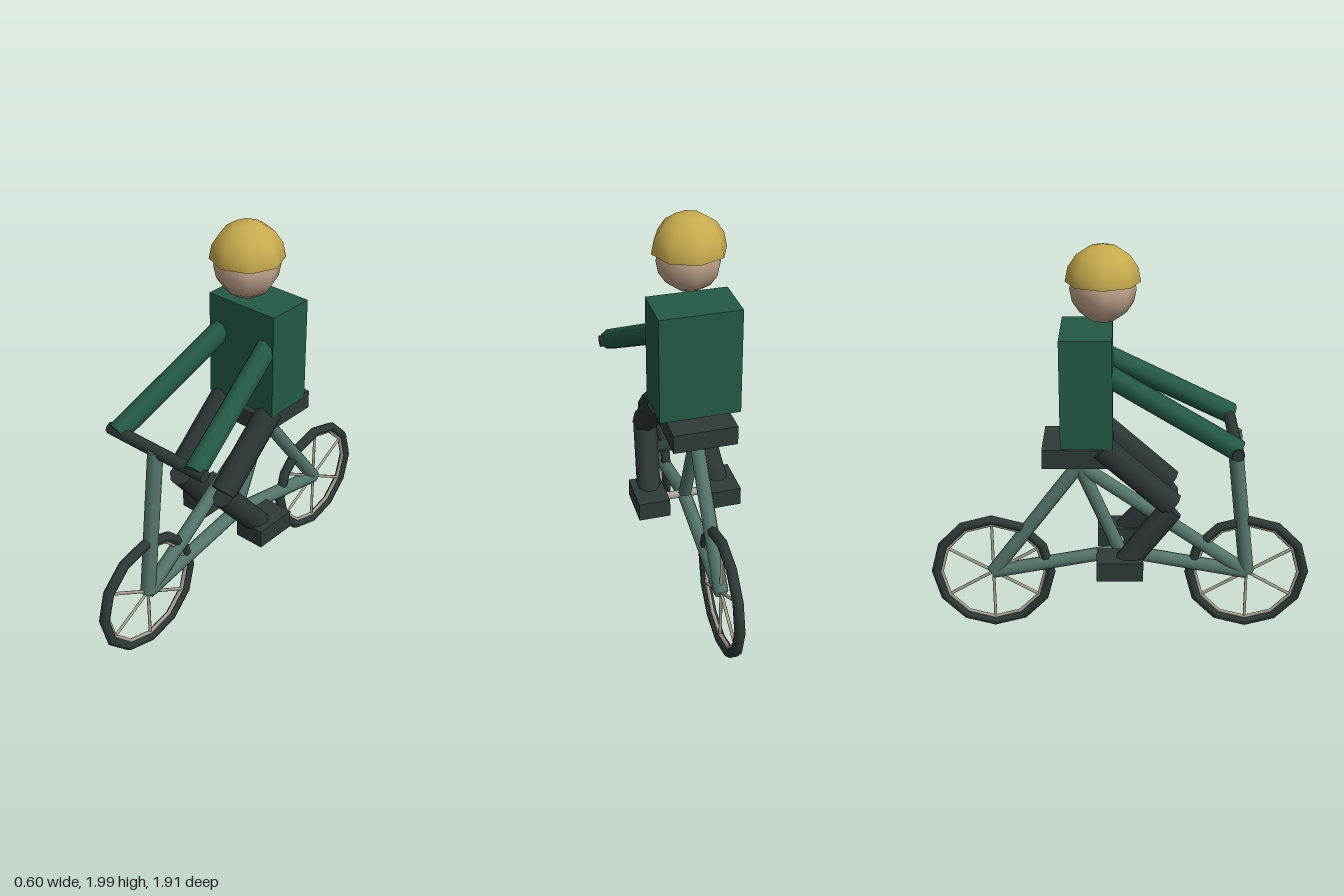
import * as THREE from 'three';

const mat = (name, color, extra = {}) => {
  const m = new THREE.MeshStandardMaterial({ color, ...extra });
  m.name = name;
  return m;
};

export function createModel() {
  const model = new THREE.Group();
  model.name = 'cyclist';

  const frameGreen = mat('frame green', 0x55766d);
  const shirtGreen = mat('shirt green', 0x245a45);
  const charcoal = mat('charcoal', 0x303939);
  const trouserGrey = mat('trouser grey', 0x2e3537);
  const metal = mat('metal', 0xaaa395);
  const skin = mat('skin', 0xc0a48c);
  const helmetYellow = mat('helmet yellow', 0xc8ab4e, { side: THREE.DoubleSide });

  const add = (name, geometry, material, pos = [0, 0, 0], parent = model) => {
    const mesh = new THREE.Mesh(geometry, material);
    mesh.name = name;
    mesh.position.set(...pos);
    parent.add(mesh);
    return mesh;
  };

  // Round bar between two points
  const UP = new THREE.Vector3(0, 1, 0);
  const bar = (name, from, to, radius, material, parent = model, sides = 8) => {
    const a = new THREE.Vector3(...from);
    const b = new THREE.Vector3(...to);
    const d = b.clone().sub(a);
    const geometry = new THREE.CylinderGeometry(radius, radius, d.length(), sides);
    const mesh = add(name, geometry, material, a.add(b).multiplyScalar(0.5).toArray(), parent);
    mesh.quaternion.setFromUnitVectors(UP, d.normalize());
    return mesh;
  };

  // Wheels: twelve-sided tyre, thin rim and three rods as six spokes
  const hubY = 0.32;
  const hubZ = 0.64;
  for (const [name, z] of [['frontWheel', hubZ], ['rearWheel', -hubZ]]) {
    const wheel = new THREE.Group();
    wheel.name = name;
    wheel.position.set(0, hubY, z);
    wheel.rotation.y = Math.PI / 2;
    model.add(wheel);
    add('tyre', new THREE.TorusGeometry(0.288, 0.026, 6, 12), charcoal, [0, 0, 0], wheel);
    add('rim', new THREE.TorusGeometry(0.263, 0.01, 6, 12), metal, [0, 0, 0], wheel);
    for (let i = 0; i < 3; i++) {
      const t = Math.PI / 2 + (i * Math.PI) / 3;
      const x = Math.cos(t) * 0.265;
      const y = Math.sin(t) * 0.265;
      bar('spoke', [-x, -y, 0], [x, y, 0], 0.008, metal, wheel, 6);
    }
  }

  // Frame tubes
  const frontHub = [0, hubY, hubZ];
  const rearHub = [0, hubY, -hubZ];
  const crank = [0, 0.44, 0];
  const seatJoint = [0, 0.91, -0.2];
  bar('fork', frontHub, [0, 1.09, 0.55], 0.037, frameGreen);
  bar('topTube', frontHub, seatJoint, 0.036, frameGreen);
  bar('downTube', frontHub, crank, 0.036, frameGreen);
  bar('chainStay', rearHub, crank, 0.036, frameGreen);
  bar('seatStay', rearHub, seatJoint, 0.036, frameGreen);
  bar('seatTube', crank, seatJoint, 0.034, frameGreen);
  bar('seatPost', seatJoint, [0, 0.97, -0.2], 0.025, frameGreen);

  // Contact points
  bar('handlebar', [-0.3, 1.085, 0.545], [0.3, 1.085, 0.545], 0.03, charcoal);
  add('seat', new THREE.BoxGeometry(0.31, 0.095, 0.34), charcoal, [0, 1.002, -0.2]);
  bar('pedalAxle', [-0.15, 0.45, 0], [0.15, 0.45, 0], 0.02, metal);

  // Rider: body, head and open half-dome helmet
  add('torso', new THREE.BoxGeometry(0.392, 0.53, 0.245), shirtGreen, [0, 1.335, -0.157]);
  add('head', new THREE.SphereGeometry(0.155, 8, 8), skin, [0, 1.79, -0.078]);
  add('helmet', new THREE.SphereGeometry(0.175, 8, 4, 0, Math.PI * 2, 0, Math.PI / 2),
    helmetYellow, [0, 1.825, -0.078]);

  // Mirrored limbs
  for (const [side, s] of [['left', 1], ['right', -1]]) {
    bar(`${side}Arm`, [s * 0.128, 1.455, -0.12], [s * 0.243, 1.085, 0.555], 0.053, shirtGreen);
    bar(`${side}Thigh`, [s * 0.14, 1.06, -0.085], [s * 0.14, 0.76, 0.25], 0.065, trouserGrey);
    bar(`${side}Shin`, [s * 0.14, 0.74, 0.25], [s * 0.18, 0.46, 0.02], 0.06, trouserGrey);
    add(`${side}Shoe`, new THREE.BoxGeometry(0.158, 0.095, 0.226), charcoal, [s * 0.184, 0.457, 0]);
  }

  return model;
}
